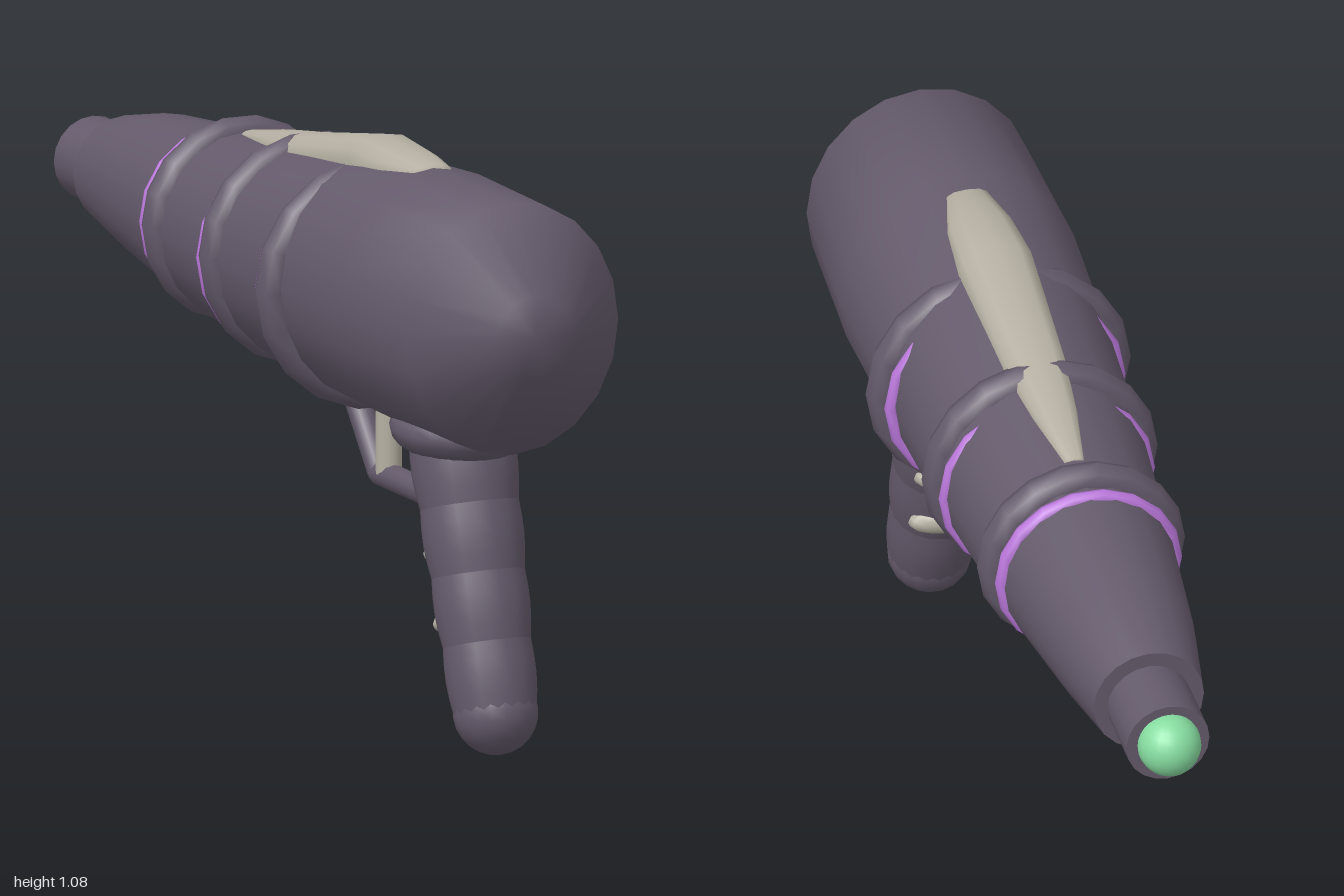
import * as THREE from 'three';

const mat = (name, color) => {
  const m = new THREE.MeshStandardMaterial({ color });
  m.name = name;
  return m;
};

// Closed skin over elliptical sections [z, centre y, radius x, radius y], z increasing
function loft(sections, sides, power = 1) {
  const pos = [], index = [];
  const bend = (v) => Math.sign(v) * Math.abs(v) ** power;
  sections.forEach(([z, y, rx, ry], s) => {
    for (let i = 0; i < sides; i++) {
      const a = (i / sides) * Math.PI * 2;
      pos.push(bend(Math.cos(a)) * rx, y + bend(Math.sin(a)) * ry, z);
      if (s === sections.length - 1) continue;
      const j = (i + 1) % sides;
      const p = s * sides + i, q = s * sides + j;
      index.push(p, q, p + sides, q, q + sides, p + sides);
    }
  });
  const g = new THREE.BufferGeometry();
  g.setAttribute('position', new THREE.Float32BufferAttribute(pos, 3));
  g.setIndex(index);
  g.computeVertexNormals();
  return g;
}

export function createModel() {
  const model = new THREE.Group();
  model.name = 'rayBlaster';
  const dark = mat('dark purple grey', 0x645a6b);
  const bone = mat('warm grey', 0xb5b0a2);
  const violet = mat('violet', 0xbb78dc);
  const green = mat('mint green', 0x86dca0);

  const add = (name, geometry, material, parent = model) => {
    const mesh = new THREE.Mesh(geometry, material);
    mesh.name = name;
    parent.add(mesh);
    return mesh;
  };

  // Tapered body, with a hard edge at the muzzle end
  add('body', loft([
    [-0.79, 0.803, 0, 0], [-0.79, 0.803, 0.106, 0.105],
    [-0.79, 0.803, 0.106, 0.105], [-0.62, 0.807, 0.135, 0.138],
    [-0.3, 0.8, 0.172, 0.176], [0, 0.805, 0.2, 0.203],
    [0.33, 0.818, 0.218, 0.234], [0.6, 0.825, 0.23, 0.246],
    [0.9, 0.829, 0.217, 0.24], [1, 0.83, 0.08, 0.08], [1, 0.83, 0, 0],
  ], 20), dark);

  // Muzzle and glowing tip
  const muzzle = add('muzzle', new THREE.CylinderGeometry(0.08, 0.08, 0.16, 20), dark);
  muzzle.rotation.x = Math.PI / 2;
  muzzle.position.set(0, 0.8, -0.85);
  add('tip', new THREE.SphereGeometry(0.06, 20, 14), green).position.set(0, 0.803, -0.94);

  // Rings around the body: z, centre y, outer radius x and y, tube, material
  [
    [0.32, 0.808, 0.255, 0.245, 0.034, dark], [0.015, 0.812, 0.227, 0.223, 0.034, dark],
    [-0.29, 0.81, 0.2, 0.196, 0.034, dark], [0.27, 0.804, 0.232, 0.217, 0.014, violet],
    [-0.038, 0.8, 0.208, 0.199, 0.014, violet], [-0.345, 0.806, 0.18, 0.176, 0.016, violet],
  ].forEach(([z, y, rx, ry, tube, m]) => {
    const ring = add(m === dark ? 'bodyRing' : 'accentRing',
      new THREE.TorusGeometry(rx - tube, tube, 8, 18), m);
    ring.scale.y = (ry - tube) / (rx - tube);
    ring.position.set(0, y, z);
  });

  // Sight rib along the top
  add('topRib', loft([
    [-0.24, 0.975, 0, 0], [-0.24, 0.975, 0.02, 0.012],
    [-0.1, 0.985, 0.044, 0.03], [0.05, 0.995, 0.062, 0.044],
    [0.33, 1.035, 0.074, 0.055], [0.45, 1.04, 0.066, 0.043],
    [0.55, 1.052, 0.042, 0.022], [0.56, 1.052, 0, 0],
  ], 12, 0.8), bone);

  // Slanted grip of slightly bulging segments on a rounded butt
  const grip = new THREE.Group();
  grip.name = 'grip';
  grip.position.set(0, 0.085, 0.825);
  grip.rotation.x = -0.296;
  model.add(grip);
  add('gripButt', new THREE.SphereGeometry(0.08, 18, 12), dark, grip);
  for (let i = 0; i < 4; i++) {
    const profile = [0, 0.25, 0.5, 0.75, 1].map((t) => new THREE.Vector2(
      0.078 + 0.005 * (i + t) + 0.005 * Math.sin(t * Math.PI), 0.13 * (i + t)));
    add('gripSegment', new THREE.LatheGeometry(profile, 18), dark, grip);
  }

  // Collar where the grip meets the body
  const collar = add('gripCollar', new THREE.SphereGeometry(1, 20, 12), dark);
  collar.scale.set(0.128, 0.065, 0.152);
  collar.position.set(0, 0.598, 0.67);

  // Finger studs
  [[0.485, 0.62], [0.362, 0.663], [0.236, 0.705]].forEach(([y, z]) => {
    const stud = add('fingerStud', new THREE.SphereGeometry(0.029, 14, 10), bone);
    stud.scale.x = 2.5;
    stud.position.set(0, y, z);
  });

  // Trigger guard: a bent bar
  const section = [[0.6, 0.445], [0.325, 0.445], [0.18, 0.615]];
  section.slice(1).forEach(([z, y], i) => {
    const a = new THREE.Vector3(0, section[i][1], section[i][0]);
    const b = new THREE.Vector3(0, y, z);
    const bar = add('triggerGuard', new THREE.CylinderGeometry(0.025, 0.025, a.distanceTo(b), 10), dark);
    bar.position.copy(a).add(b).multiplyScalar(0.5);
    bar.quaternion.setFromUnitVectors(new THREE.Vector3(0, 1, 0), b.clone().sub(a).normalize());
  });
  add('guardBend', new THREE.SphereGeometry(0.025, 10, 8), dark).position.set(0, 0.445, 0.325);

  // Trigger
  add('trigger', new THREE.CylinderGeometry(0.025, 0.025, 0.17, 12), bone).position.set(0, 0.535, 0.36);

  return model;
}
